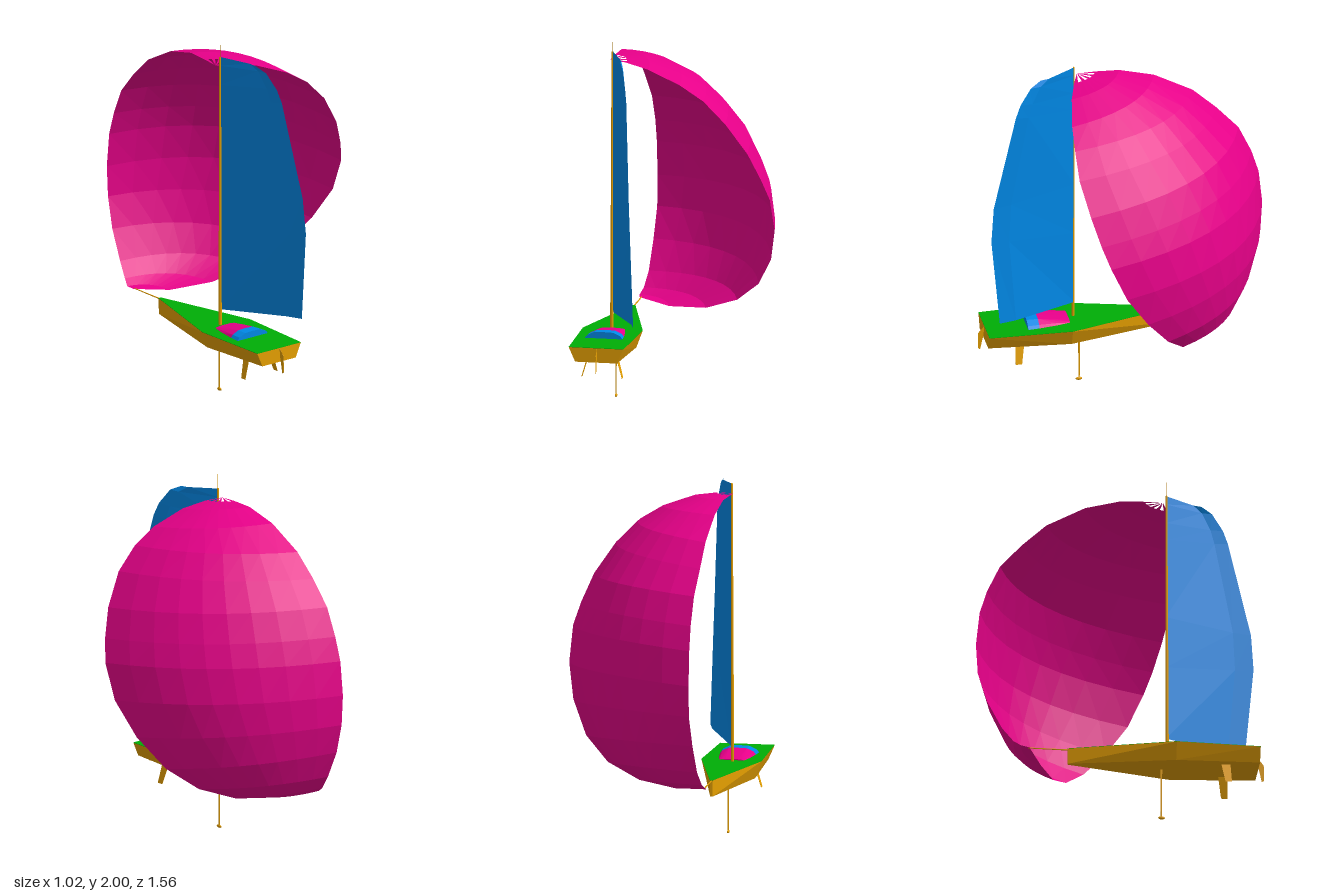
import * as THREE from 'three';
import { ConvexGeometry } from 'three/addons/geometries/ConvexGeometry.js';

const V = (x, y, z) => new THREE.Vector3(x, y, z);
const CX = -0.35; // centreline of the boat

const mat = (name, color, side = THREE.FrontSide) => {
  const m = new THREE.MeshStandardMaterial({ color, side });
  m.name = name;
  return m;
};

// Flat-shaded surface through rows of points; skip(i, j) leaves out a cell
function sheet(rows, skip = () => false) {
  const pts = [];
  for (let i = 0; i < rows.length - 1; i++) {
    for (let j = 0; j < rows[i].length - 1; j++) {
      if (skip(i, j)) continue;
      const a = rows[i][j], b = rows[i][j + 1], c = rows[i + 1][j + 1], d = rows[i + 1][j];
      for (const t of [[a, d, c], [a, c, b]]) {
        const area = t[1].clone().sub(t[0]).cross(t[2].clone().sub(t[0])).length();
        if (area > 1e-7) pts.push(...t);
      }
    }
  }
  const g = new THREE.BufferGeometry().setFromPoints(pts);
  g.computeVertexNormals();
  return g;
}

// Round pole between two points
function pole(a, b, r0, r1, sides = 8) {
  const dir = b.clone().sub(a);
  const g = new THREE.CylinderGeometry(r1, r0, dir.length(), sides);
  g.applyQuaternion(new THREE.Quaternion().setFromUnitVectors(V(0, 1, 0), dir.clone().normalize()));
  const mid = a.clone().add(b).multiplyScalar(0.5);
  return g.translate(mid.x, mid.y, mid.z);
}

// Thin blade from a [z, y] outline, x given as a function of y
function blade(outline, xAt, thick) {
  const pts = [];
  for (const [z, y] of outline) for (const s of [-1, 1]) pts.push(V(xAt(y) + s * thick / 2, y, z));
  return new ConvexGeometry(pts);
}

export function createModel() {
  const boat = new THREE.Group();
  boat.name = 'sailboat';
  const gold = mat('gold', 0xe6a000);
  const green = mat('green', 0x00ae06);
  const blue = mat('blue', 0x008cec);
  const pink = mat('magenta', 0xec008c);
  const blueCloth = mat('blue cloth', 0x008cec, THREE.DoubleSide);
  const pinkCloth = mat('magenta cloth', 0xec008c, THREE.DoubleSide);
  const add = (name, geo, m) => {
    const mesh = new THREE.Mesh(geo, m);
    mesh.name = name;
    boat.add(mesh);
    return mesh;
  };

  // Hull sections: z, half width at deck, half width at bottom, bottom height
  const sections = [[-0.285, 0.008, 0.006, 0.3], [0.29, 0.165, 0.13, 0.295], [0.747, 0.15, 0.115, 0.31]];
  const hull = [], deck = [];
  for (const [z, top, low, y] of sections) {
    for (const s of [-1, 1]) {
      hull.push(V(CX + s * top, 0.389, z), V(CX + s * low, y, z));
      deck.push(V(CX + s * top, 0.389, z), V(CX + s * top, 0.391, z));
    }
  }
  add('hull', new ConvexGeometry(hull), gold);
  add('deck', new ConvexGeometry(deck), green);

  // Arched coachroof in two colours: z, half width, height
  const arch = (z, w, h) => [[-1, 0], [-0.88, 0.45], [-0.5, 0.95], [0, 1], [0.5, 0.95], [0.88, 0.45], [1, 0]]
    .map(([u, v]) => V(-0.353 + u * w, 0.391 + v * h, z));
  add('coachroofFront', new ConvexGeometry([...arch(0.285, 0.068, 0.006), ...arch(0.36, 0.085, 0.019),
    ...arch(0.46, 0.099, 0.034)]), pink);
  add('coachroofBack', new ConvexGeometry([...arch(0.46, 0.099, 0.034), ...arch(0.523, 0.104, 0.036)]), blue);

  // Keel with bulb
  add('keelFin', blade([[0.218, 0.3], [0.229, 0.3], [0.227, 0.01], [0.221, 0.01]], () => -0.345, 0.005), gold);
  const bulb = new THREE.SphereGeometry(0.009, 8, 6);
  bulb.scale(0.7, 1, 2.1);
  add('keelBulb', bulb, gold).position.set(-0.345, 0.009, 0.225);

  // Splayed twin rudders and the stern blade
  for (const s of [-1, 1]) {
    add('rudder', blade([[0.54, 0.31], [0.59, 0.31], [0.595, 0.19], [0.56, 0.19]],
      y => CX + s * (0.078 + (0.31 - y) * 0.28), 0.001), gold);
  }
  add('sternBlade', blade([[0.745, 0.39], [0.78, 0.35], [0.782, 0.26], [0.77, 0.248], [0.752, 0.33]],
    () => -0.345, 0.001), gold);

  // Spars
  add('mast', pole(V(-0.363, 0.385, 0.254), V(-0.36, 1.92, 0.25), 0.009, 0.005), gold);
  add('mastTip', pole(V(-0.36, 1.91, 0.252), V(-0.36, 2, 0.252), 0.0008, 0.0006, 5), gold);
  add('bowsprit', pole(V(CX, 0.385, -0.27), V(-0.352, 0.385, -0.5), 0.004, 0.003, 6), gold);

  // Mainsail rows: height at mast, then back edge x, y, z
  const mainRows = [
    [0.475, -0.155, 0.5, 0.7], [0.9, -0.163, 1.0, 0.745], [1.2, -0.173, 1.2, 0.73], [1.66, -0.213, 1.72, 0.6],
    [1.76, -0.225, 1.79, 0.572], [1.87, -0.25, 1.875, 0.51], [1.92, -0.275, 1.905, 0.45],
  ].map(([y0, x, y, z]) => {
    const a = V(-0.358, y0, 0.247), b = V(x, y, z);
    return [[0, 0], [0.8, 0.011], [1, 0]]
      .map(([u, camber]) => a.clone().lerp(b, u).add(V(camber, 0, -camber * 0.4)));
  });
  add('mainsail', sheet(mainRows), blueCloth);

  // Spinnaker: two free edges meeting at the masthead and at the bowsprit
  const edgeA = [
    [-0.375, 1.87, 0.23], [-0.37, 1.875, 0.13], [-0.36, 1.875, 0], [-0.35, 1.83, -0.19], [-0.34, 1.72, -0.4],
    [-0.335, 1.6, -0.53], [-0.325, 1.47, -0.65], [-0.32, 1.32, -0.72], [-0.32, 1.19, -0.76], [-0.32, 1, -0.78],
    [-0.32, 0.83, -0.77], [-0.33, 0.66, -0.72], [-0.34, 0.5, -0.64], [-0.355, 0.42, -0.58], [-0.37, 0.39, -0.54],
    [-0.362, 0.385, -0.495],
  ];
  const edgeB = [
    [-0.375, 1.87, 0.23], [-0.28, 1.865, 0.265], [-0.15, 1.84, 0.305], [0.03, 1.77, 0.34], [0.16, 1.69, 0.35],
    [0.28, 1.57, 0.35], [0.395, 1.4, 0.31], [0.46, 1.25, 0.265], [0.5, 1.13, 0.22], [0.51, 0.94, 0.135],
    [0.465, 0.75, 0.01], [0.37, 0.58, -0.12], [0.23, 0.46, -0.23], [0.04, 0.385, -0.32], [-0.18, 0.363, -0.41],
    [-0.362, 0.385, -0.495],
  ];
  const N = 9;
  const kiteRows = edgeA.map((p, i) => {
    const a = V(...p), b = V(...edgeB[i]);
    const depth = a.distanceTo(b) * (i > 9 ? 0.165 : 0.175);
    return Array.from({ length: N + 1 }, (_, j) => {
      const u = j / N, k = 4 * u * (1 - u) * depth;
      return a.clone().lerp(b, u).add(V(0.74 * k, 0.15 * k, -0.67 * k));
    });
  });
  // Slits fan out at the masthead corner
  add('spinnaker', sheet(kiteRows, (i, j) => i === 0 && j % 2 === 1), pinkCloth);

  return boat;
}
